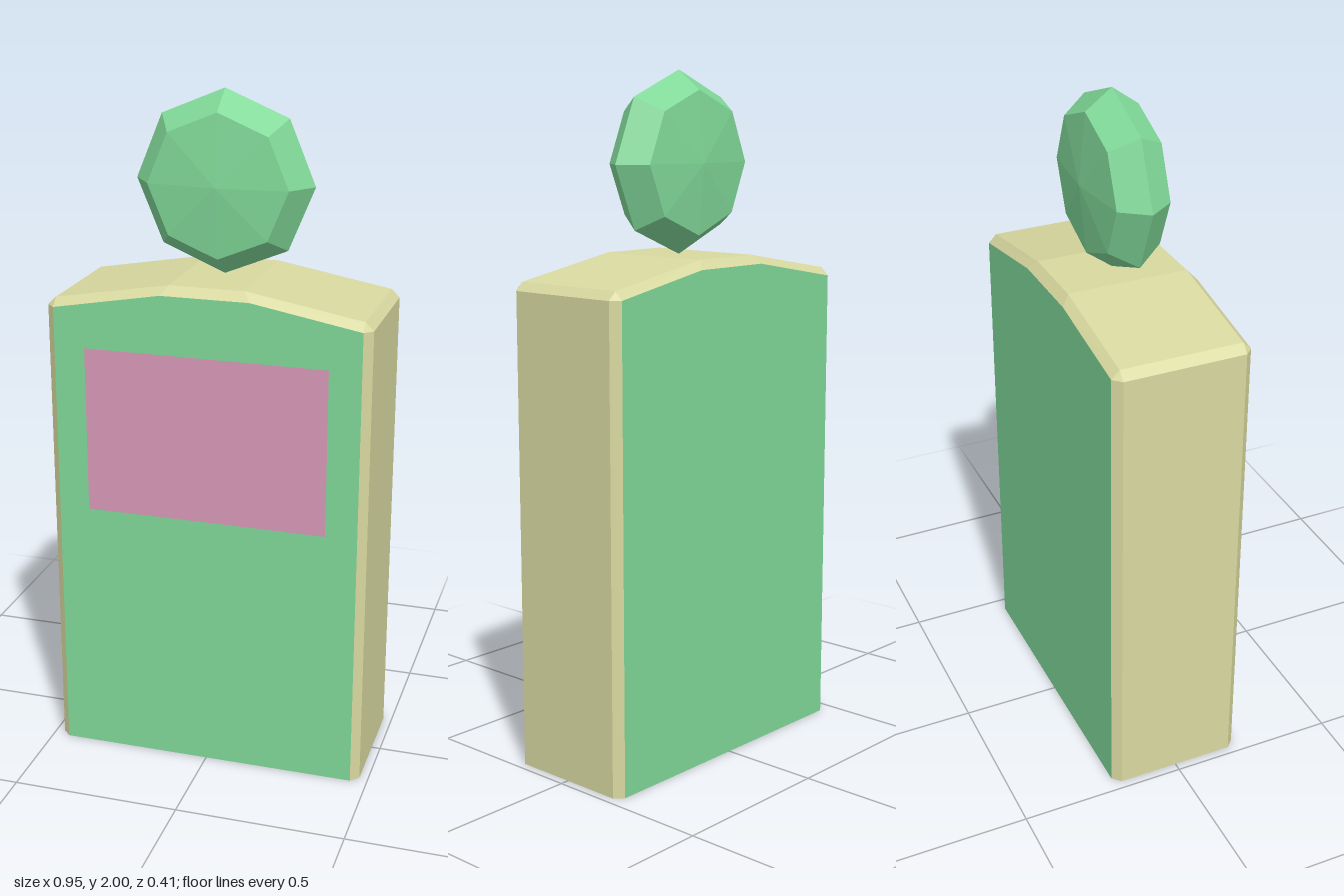
import * as THREE from 'three';

const GREEN = 0x80d898, CREAM = 0xd8d8a0, PINK = 0xd898b8;

function part(name, geometry, color) {
  const material = new THREE.MeshStandardMaterial({ color, flatShading: true });
  const mesh = new THREE.Mesh(geometry, material);
  mesh.name = name;
  return mesh;
}

// Closed counter-clockwise outline, mirrored from its right half
function mirrored(half) {
  return [...half, ...half.map(([x, y]) => [-x, y]).reverse()];
}

// Skin running through a row of matching cross-sections, from back to front
function loft(rings) {
  const pos = [];
  const n = rings[0].length;
  const tri = new THREE.Triangle();
  const add = (a, b, c) => {
    tri.set(a, b, c);
    if (tri.getArea() > 1e-8) for (const p of [a, b, c]) pos.push(p.x, p.y, p.z);
  };
  for (let i = 0; i < rings.length - 1; i++) {
    for (let j = 0; j < n; j++) {
      const k = (j + 1) % n;
      add(rings[i][j], rings[i][k], rings[i + 1][k]);
      add(rings[i][j], rings[i + 1][k], rings[i + 1][j]);
    }
  }
  const geometry = new THREE.BufferGeometry();
  geometry.setAttribute('position', new THREE.Float32BufferAttribute(pos, 3));
  geometry.computeVertexNormals();
  return geometry;
}

export function createModel() {
  const model = new THREE.Group();
  model.name = 'bottle';

  // Body casing: bevelled sides and shoulders, flat underside
  const outer = mirrored([[0.474, 0], [0.474, 1.393], [0.45, 1.417], [0.11, 1.477]]);
  const inner = mirrored([[0.45, 0], [0.45, 1.393], [0.45, 1.393], [0.13, 1.451]]);
  const ring = (outline, z) => outline.map(([x, y]) => new THREE.Vector3(x, y, z));
  const casing = loft([ring(inner, -0.204), ring(outer, -0.18), ring(outer, 0.18), ring(inner, 0.204)]);
  model.add(part('bodyCasing', casing, CREAM));

  // Front and back panels closing the casing
  const face = new THREE.Shape(
    mirrored([[0.45, 0], [0.45, 1.393], [0.13, 1.451]]).map(([x, y]) => new THREE.Vector2(x, y)));
  const frontPanel = part('frontPanel', new THREE.ShapeGeometry(face), GREEN);
  frontPanel.position.z = 0.204;
  const backPanel = part('backPanel', new THREE.ShapeGeometry(face), GREEN);
  backPanel.position.z = -0.204;
  backPanel.rotation.y = Math.PI;
  model.add(frontPanel, backPanel);

  // Blank label on the front
  const label = part('label', new THREE.PlaneGeometry(0.715, 0.495), PINK);
  label.position.set(0, 1.032, 0.207);
  model.add(label);

  // Faceted eight-sided stopper, facing front and back
  const profile = [[0, -0.098], [0.205, -0.078], [0.262, 0], [0.205, 0.078], [0, 0.098]]
    .map(([r, y]) => new THREE.Vector2(r, y));
  const stopper = part('stopper', new THREE.LatheGeometry(profile, 8), GREEN);
  stopper.rotation.x = Math.PI / 2;
  stopper.position.y = 1.738;
  model.add(stopper);

  return model;
}
